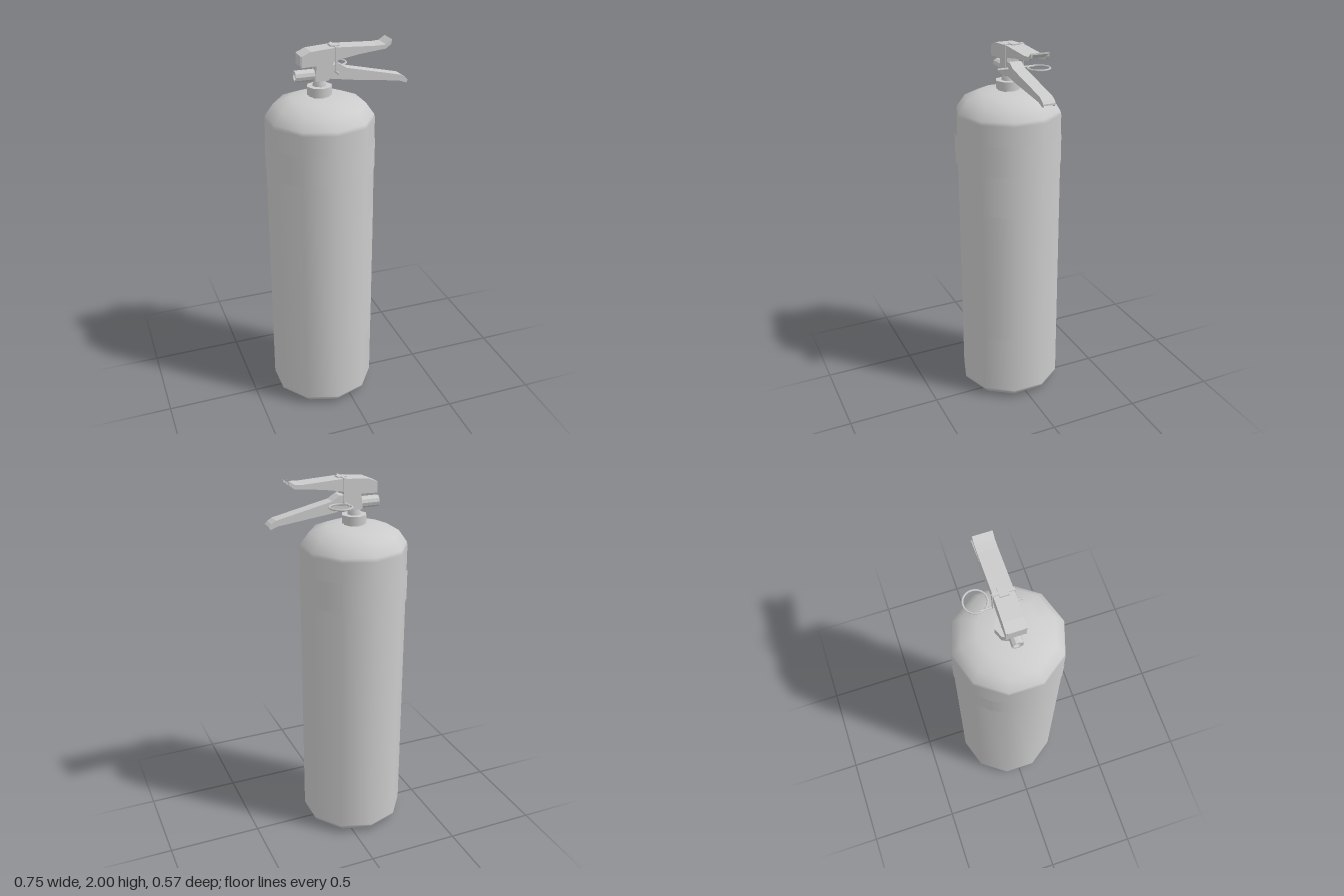
import * as THREE from 'three';

const CX = -0.093; // axis of the cylinder

function mat(side = THREE.FrontSide, flatShading = false) {
  return new THREE.MeshStandardMaterial({ color: 0xcccccc, side, flatShading });
}

function add(parent, name, geo, x = 0, y = 0, z = 0, material = mat()) {
  const m = new THREE.Mesh(geo, material);
  m.name = name;
  m.position.set(x, y, z);
  parent.add(m);
  return m;
}

function lathe(pts, sides) {
  return new THREE.LatheGeometry(pts.map(p => new THREE.Vector2(p[0], p[1])), sides);
}

// Side outline in x, y given a width along z
function slab(pts, z0, z1) {
  const shape = new THREE.Shape(pts.map(p => new THREE.Vector2(p[0], p[1])));
  const g = new THREE.ExtrudeGeometry(shape, { depth: z1 - z0, bevelEnabled: false });
  g.translate(0, 0, z0);
  return g;
}

// Bent sheet metal: a top plate and two side walls, open below
function channel(name, top, bottom, half, t) {
  const g = new THREE.Group();
  g.name = name;
  const under = top.map(p => [p[0], p[1] - t]).reverse();
  const wall = [...top, ...bottom];
  add(g, name + 'Plate', slab([...top, ...under], -half, half));
  add(g, name + 'WallFront', slab(wall, half - t, half));
  add(g, name + 'WallBack', slab(wall, -half, -half + t));
  return g;
}

export function createModel() {
  const model = new THREE.Group();
  model.name = 'fireExtinguisher';

  // Ten-sided tank with rounded shoulder
  add(model, 'tank', lathe([
    [0, 0], [0.235, 0], [0.242, 0.004], [0.28, 0.04], [0.28, 0.05], [0.28, 1.62],
    [0.275, 1.64], [0.232, 1.7], [0.15, 1.733], [0.06, 1.74], [0, 1.74],
  ], 10), CX);

  // Band and label, thin sleeves around the tank
  add(model, 'band', new THREE.CylinderGeometry(0.283, 0.283, 0.16, 20, 1, true), CX, 1.435);
  add(model, 'label', new THREE.CylinderGeometry(0.281, 0.281, 0.745, 4, 1, true,
    0, Math.PI * 0.4), CX, 0.7625);

  // Neck collar and valve stem
  add(model, 'neck', new THREE.CylinderGeometry(0.056, 0.056, 0.03, 8), CX, 1.745);
  add(model, 'collar', new THREE.CylinderGeometry(0.066, 0.066, 0.042, 8), CX, 1.77);
  add(model, 'valveStem', lathe([
    [0.036, 1.785], [0.034, 1.81], [0.026, 1.84], [0.026, 1.9], [0, 1.9],
  ], 8), CX);

  // Valve head that carries both levers
  add(model, 'valveHead', slab([
    [-0.125, 1.82], [-0.055, 1.82], [-0.035, 1.85], [-0.03, 1.92], [-0.115, 1.92],
  ], -0.033, 0.033));

  // Hollow outlet nozzle
  const nozzle = add(model, 'nozzle', lathe([
    [0, 0], [0.029, 0], [0.029, 0.1], [0.021, 0.1], [0.021, 0.06], [0, 0.06],
  ], 10), -0.122, 1.848, 0, mat(THREE.FrontSide, true));
  nozzle.rotation.z = Math.PI / 2;

  // Upper handle with its lifted tip
  model.add(channel('handle',
    [[-0.198, 1.955], [-0.15, 1.975], [-0.01, 1.985], [0.2, 1.975], [0.24, 1.978], [0.272, 2]],
    [[0.268, 1.977], [0.242, 1.957], [0.1, 1.942], [0, 1.925], [-0.06, 1.905], [-0.2, 1.9]],
    0.048, 0.008));
  add(model, 'handleEnd', new THREE.BoxGeometry(0.008, 0.055, 0.08), -0.196, 1.928);

  // Lower lever with its drooping tip
  model.add(channel('lever',
    [[-0.045, 1.895], [0, 1.9], [0.04, 1.875], [0.335, 1.81], [0.36, 1.795], [0.373, 1.782]],
    [[0.365, 1.766], [0.325, 1.781], [0.25, 1.79], [0.04, 1.815], [0, 1.822], [-0.055, 1.83]],
    0.033, 0.008));

  // Safety pin with pull ring
  const pin = add(model, 'safetyPin',
    new THREE.CylinderGeometry(0.006, 0.006, 0.2, 8), -0.02, 1.865, -0.01);
  pin.rotation.x = Math.PI / 2;
  const ring = add(model, 'pullRing',
    new THREE.TorusGeometry(0.057, 0.005, 6, 24), 0.03, 1.865, -0.115);
  ring.rotation.x = Math.PI / 2;

  // Tie that holds the pin in place
  add(model, 'tieTop', new THREE.BoxGeometry(0.045, 0.008, 0.045), -0.018, 1.987);
  add(model, 'tieStrap', new THREE.BoxGeometry(0.014, 0.005, 0.1), -0.02, 1.987);
  for (const s of [-1, 1]) {
    add(model, s > 0 ? 'tieFront' : 'tieBack',
      new THREE.BoxGeometry(0.014, 0.125, 0.004), -0.02, 1.925, s * 0.051);
  }

  return model;
}
